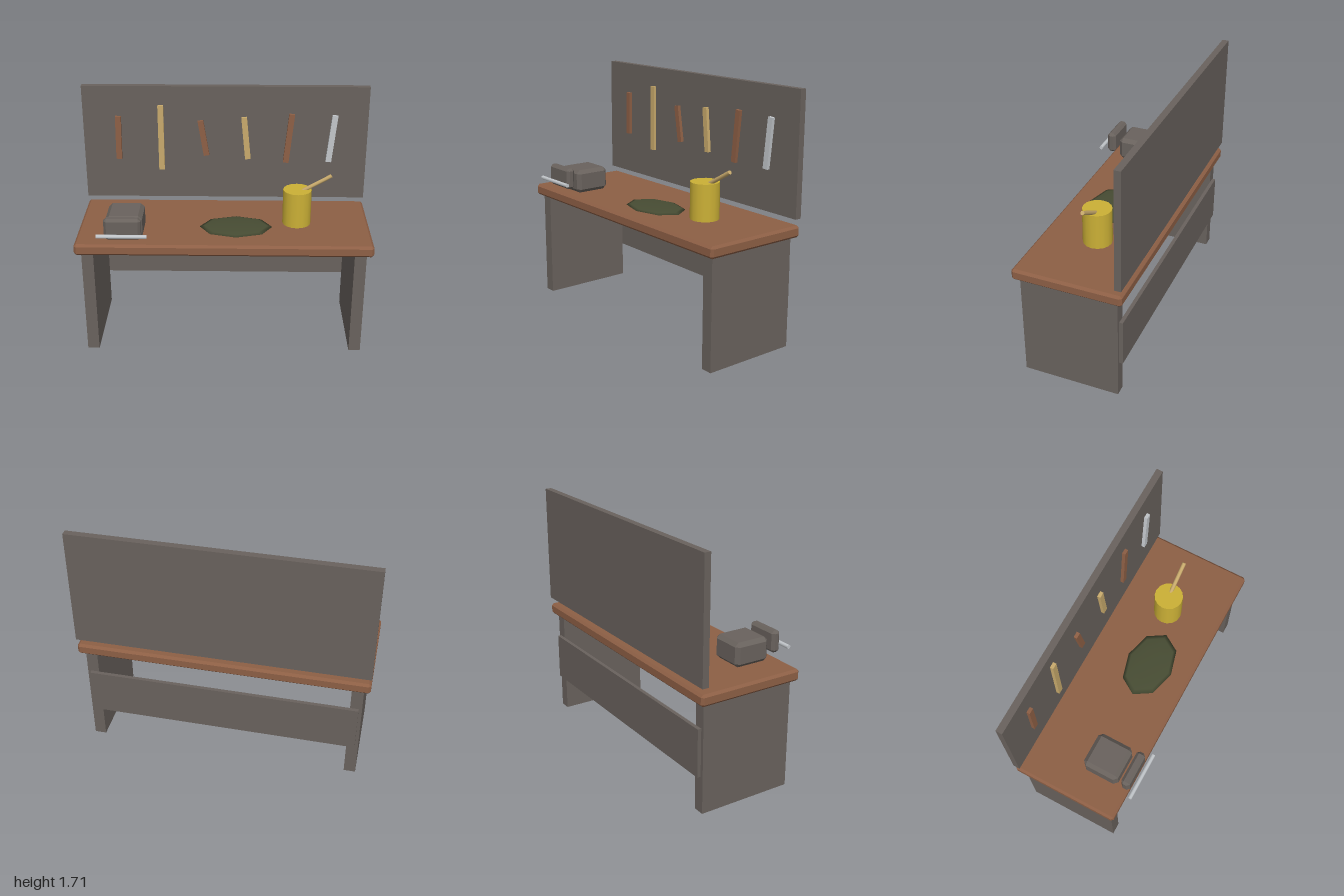
import * as THREE from 'three';
import { ConvexGeometry } from 'three/addons/geometries/ConvexGeometry.js';

const material = (name, color) => {
  const m = new THREE.MeshStandardMaterial({ color });
  m.name = name;
  return m;
};

// Box with every edge cut by a single flat chamfer
function chamferBox(w, h, d, c) {
  const points = [];
  for (const x of [-1, 1]) for (const y of [-1, 1]) for (const z of [-1, 1]) {
    const [a, b, e] = [x * w / 2, y * h / 2, z * d / 2];
    points.push(
      new THREE.Vector3(a, b - y * c, e - z * c),
      new THREE.Vector3(a - x * c, b, e - z * c),
      new THREE.Vector3(a - x * c, b - y * c, e));
  }
  return new ConvexGeometry(points);
}

export function createModel() {
  const model = new THREE.Group();
  model.name = 'workbench';
  const grey = material('darkGreyMetal', 0x69625d);
  const wood = material('brownWood', 0x8d5f45);
  const pale = material('paleWood', 0xc8aa6c);
  const silver = material('silver', 0xc2c6ca);
  const yellow = material('yellowPaint', 0xcbb036);
  const green = material('darkGreenCloth', 0x474c33);

  const add = (name, geometry, mat, x, y, z, rotZ = 0) => {
    const mesh = new THREE.Mesh(geometry, mat);
    mesh.name = name;
    mesh.position.set(x, y, z);
    mesh.rotation.z = rotZ;
    model.add(mesh);
    return mesh;
  };
  const box = (w, h, d) => new THREE.BoxGeometry(w, h, d);

  // Bench: top, two slab legs, rear brace and tool board
  add('benchTop', chamferBox(2, 0.08, 0.75, 0.016), wood, 0, 0.795, -0.027);
  for (const side of [-1, 1])
    add(side > 0 ? 'leftLeg' : 'rightLeg', box(0.08, 0.755, 0.667), grey, side * 0.917, 0.3775, -0.027);
  add('rearBrace', box(1.87, 0.33, 0.025), grey, 0, 0.42, -0.373);
  add('toolBoard', box(2, 0.83, 0.045), grey, 0, 1.295, -0.379);

  // Hanging tools: x, length, tilt, material
  [
    [-0.754, 0.315, -0.015, wood],
    [-0.453, 0.475, 0, pale],
    [-0.154, 0.26, 0.16, wood],
    [0.146, 0.31, 0.095, pale],
    [0.448, 0.36, -0.1, wood],
    [0.75, 0.345, -0.1, silver],
  ].forEach(([x, length, tilt, mat], i) =>
    add('hangingTool' + (i + 1), box(0.04, length, 0.023), mat, x, 1.336, -0.345, tilt));

  // Vise: body, separate front jaw and turning bar
  add('viseBody', chamferBox(0.245, 0.167, 0.255, 0.026), grey, -0.668, 0.918, 0.137);
  add('viseJaw', chamferBox(0.245, 0.15, 0.063, 0.018), grey, -0.668, 0.952, 0.325);
  add('viseBar', new THREE.CylinderGeometry(0.014, 0.014, 0.333, 8), silver, -0.67, 0.921, 0.388, Math.PI / 2);

  // Crumpled cloth lying flat on the top
  add('cloth', new THREE.SphereGeometry(1, 8, 6), green, 0.08, 0.835, 0.05).scale.set(0.25, 0.017, 0.167);

  // Paint can with a stirring stick
  add('paintCan', new THREE.CylinderGeometry(0.098, 0.098, 0.25, 16), yellow, 0.5, 0.96, -0.028);
  add('stirringStick', new THREE.CylinderGeometry(0.014, 0.014, 0.27, 8), pale, 0.612, 1.118, -0.032, -Math.PI / 3);

  return model;
}
